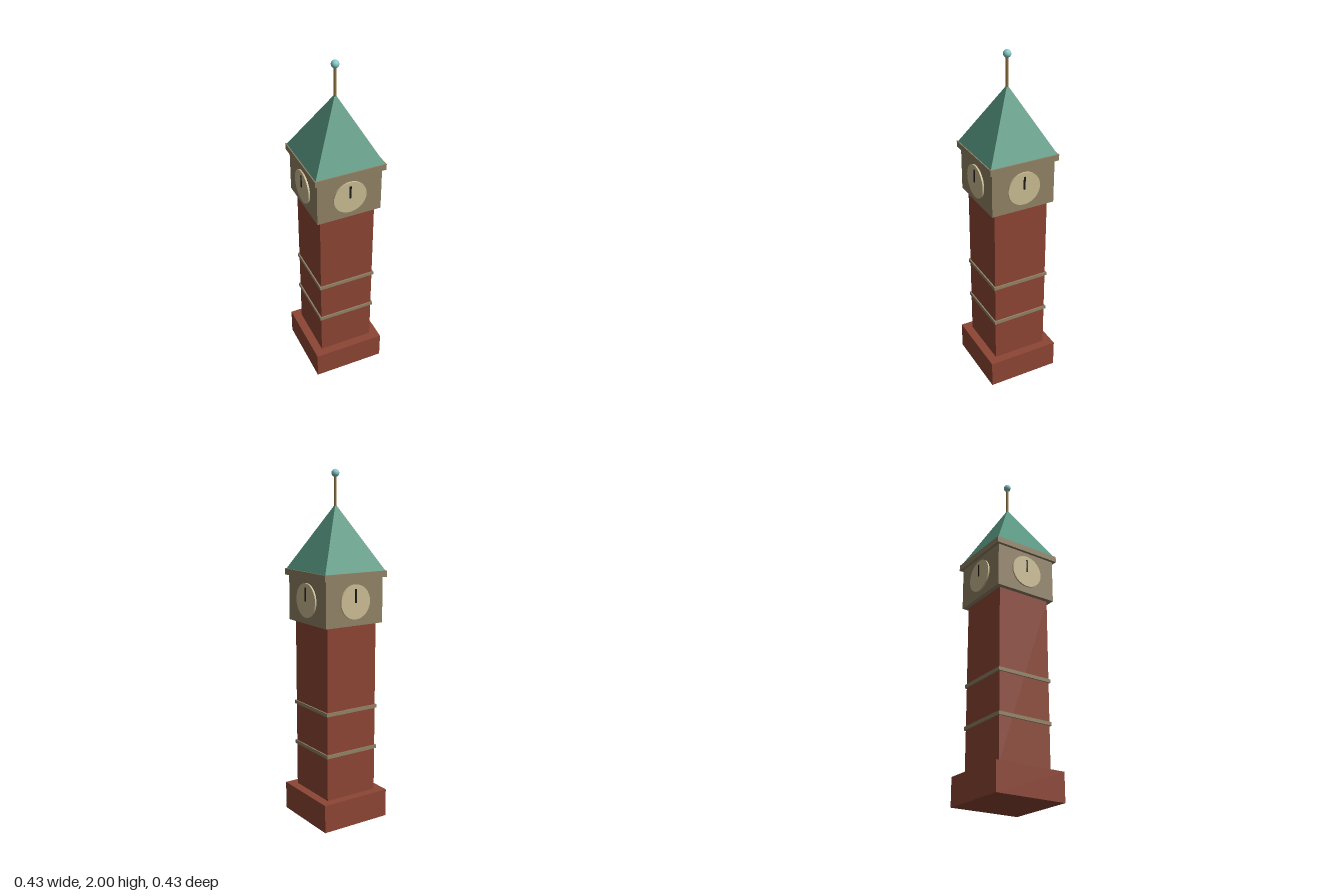
import * as THREE from 'three';

const mat = (name, color) => {
  const m = new THREE.MeshStandardMaterial({ color });
  m.name = name;
  return m;
};

export function createModel() {
  const brick = mat('brick', 0x8c4534);
  const stone = mat('stone', 0x918265);
  const copper = mat('copper roof', 0x55957f);
  const dial = mat('dial cream', 0xcabc93);
  const black = mat('hand black', 0x1c1a18);
  const bronze = mat('bronze', 0x94743f);
  const aqua = mat('finial aqua', 0x84c8c8);

  const tower = new THREE.Group();
  tower.name = 'clockTower';

  const add = (parent, name, geometry, material, x, y, z) => {
    const mesh = new THREE.Mesh(geometry, material);
    mesh.name = name;
    mesh.position.set(x, y, z);
    parent.add(mesh);
    return mesh;
  };
  // Square block spanning two heights
  const block = (name, width, y0, y1, material) =>
    add(tower, name, new THREE.BoxGeometry(width, y1 - y0, width), material, 0, (y0 + y1) / 2, 0);

  // Masonry from the ground up
  block('base', 0.427, 0, 0.163, brick);
  block('shaft', 0.325, 0.163, 1.16, brick);
  block('lowerBand', 0.341, 0.416, 0.436, stone);
  block('upperBand', 0.341, 0.661, 0.681, stone);
  block('clockRoom', 0.377, 1.16, 1.42, stone);
  block('cornice', 0.411, 1.417, 1.452, stone);

  // Four-sided spire
  const spire = new THREE.ConeGeometry(0.398 / Math.SQRT2, 0.36, 4, 1).toNonIndexed();
  spire.rotateY(Math.PI / 4);
  spire.computeVertexNormals();
  add(tower, 'roof', spire, copper, 0, 1.632, 0);

  // Clock on each side
  const disc = new THREE.CylinderGeometry(0.096, 0.096, 0.012, 32).rotateX(Math.PI / 2);
  const hand = new THREE.BoxGeometry(0.01, 0.075, 0.006);
  ['front', 'left', 'back', 'right'].forEach((side, i) => {
    const clock = new THREE.Group();
    clock.name = side + 'Clock';
    clock.rotation.y = i * Math.PI / 2;
    add(clock, 'clockFace', disc, dial, 0, 1.293, 0.192);
    add(clock, 'clockHand', hand, black, 0, 1.327, 0.199);
    tower.add(clock);
  });

  // Pole and ball on the peak
  add(tower, 'pole', new THREE.CylinderGeometry(0.0075, 0.0075, 0.18, 8), bronze, 0, 1.88, 0);
  add(tower, 'finialBall', new THREE.SphereGeometry(0.022, 12, 8), aqua, 0, 1.978, 0);

  return tower;
}
